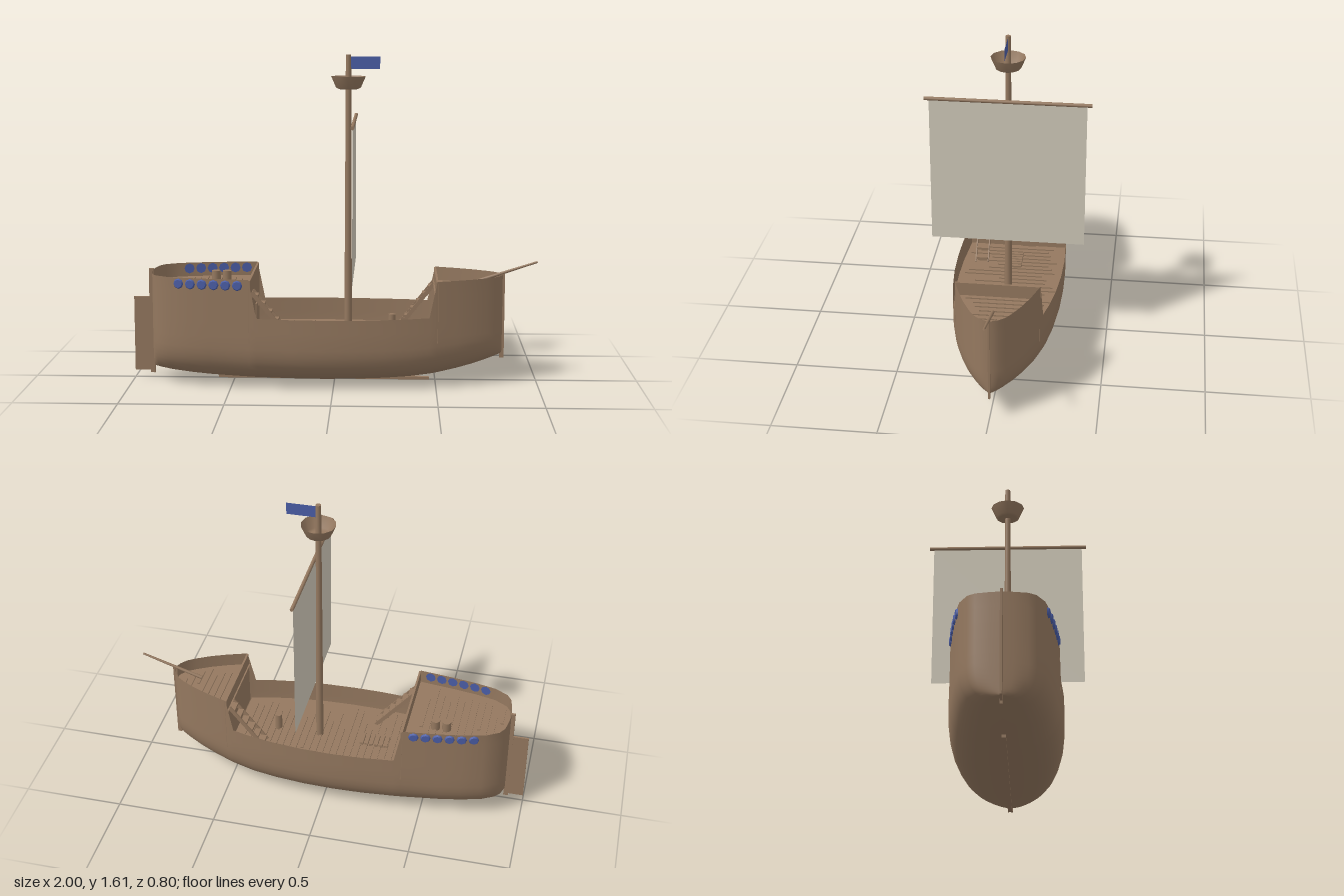
import * as THREE from 'three';

const wood = new THREE.MeshStandardMaterial({ color: 0x94785f, side: THREE.DoubleSide });
wood.name = 'wood';
const canvas = new THREE.MeshStandardMaterial({ color: 0xd0c9b9, side: THREE.DoubleSide });
canvas.name = 'sailcloth';
const blue = new THREE.MeshStandardMaterial({ color: 0x4a5da6, side: THREE.DoubleSide });
blue.name = 'blue';

// hull stations: x, half width, keel height
const STATIONS = [
  [-0.905, 0, 0.068], [-0.9, 0.05, 0.067], [-0.888, 0.115, 0.065], [-0.865, 0.15, 0.062],
  [-0.8, 0.187, 0.053], [-0.7, 0.21, 0.042], [-0.6, 0.226, 0.034], [-0.405, 0.25, 0.025],
  [-0.368, 0.254, 0.024], [-0.2, 0.268, 0.021], [-0.05, 0.272, 0.02], [0.1, 0.268, 0.022],
  [0.25, 0.254, 0.027], [0.37, 0.235, 0.034], [0.465, 0.213, 0.043], [0.502, 0.203, 0.048],
  [0.6, 0.17, 0.068], [0.68, 0.137, 0.088], [0.75, 0.1, 0.11], [0.79, 0.073, 0.124],
  [0.815, 0.043, 0.134], [0.826, 0.018, 0.138], [0.83, 0, 0.14],
];

function halfWidth(x) {
  const i = Math.max(1, STATIONS.findIndex((s) => s[0] >= x));
  const [a, b] = [STATIONS[i - 1], STATIONS[i]];
  return a[1] + ((b[1] - a[1]) * (x - a[0])) / (b[0] - a[0]);
}

function railHeight(x) {
  if (x < -0.4) return 0.545;
  if (x > 0.5) return 0.533;
  return 0.353 + 0.02 * x * x;
}

// half a cross-section from keel to rail: rounded bilge, then upright side
function halfSection([x, w, keel]) {
  const pts = [];
  const e = 2 / (x > 0.3 ? 3 - (x - 0.3) * 1.6 : 2.9);
  const bilge = 0.26;
  for (let i = 0; i <= 12; i++) {
    const a = (i / 12) * Math.PI / 2;
    const z = w * Math.pow(Math.sin(a), e);
    pts.push([z, bilge - (bilge - keel) * Math.pow(Math.max(0, Math.cos(a)), e)]);
  }
  for (let i = 1; i <= 4; i++) pts.push([w, bilge + ((railHeight(x) - bilge) * i) / 4]);
  return pts;
}

function hullGeometry() {
  const pos = [], idx = [];
  let n = 0;
  STATIONS.forEach((s, k) => {
    const half = halfSection(s);
    const ring = [...half.slice(1).reverse().map(([z, y]) => [-z, y]), ...half];
    n = ring.length;
    ring.forEach(([z, y]) => pos.push(s[0], y, z));
    if (k === 0) return;
    for (let j = 0; j < n - 1; j++) {
      const a = (k - 1) * n + j, b = k * n + j;
      idx.push(a, b, a + 1, b, b + 1, a + 1);
    }
  });
  const g = new THREE.BufferGeometry();
  g.setAttribute('position', new THREE.Float32BufferAttribute(pos, 3));
  g.setIndex(idx);
  g.computeVertexNormals();
  return g;
}

// flat deck following the hull outline
function deckGeometry(x0, x1) {
  const xs = [x0, ...STATIONS.map((s) => s[0]).filter((x) => x > x0 && x < x1), x1];
  const side = xs.map((x) => new THREE.Vector2(x, halfWidth(x) - 0.002));
  const other = side.map((p) => new THREE.Vector2(p.x, -p.y)).reverse();
  return new THREE.ShapeGeometry(new THREE.Shape([...side, ...other])).rotateX(-Math.PI / 2);
}

export function createModel() {
  const ship = new THREE.Group();
  ship.name = 'sailingShip';

  function add(name, geo, mat, x = 0, y = 0, z = 0, parent = ship) {
    const m = new THREE.Mesh(geo, mat);
    m.name = name;
    m.position.set(x, y, z);
    parent.add(m);
    return m;
  }
  const box = (name, w, h, d, x, y, z, parent) =>
    add(name, new THREE.BoxGeometry(w, h, d), wood, x, y, z, parent);

  add('hull', hullGeometry(), wood);

  // decks with raised planks
  let seed = 7;
  const rnd = () => (seed = (seed * 16807) % 2147483647) / 2147483647;
  const decks = [['aftDeck', -0.9, -0.4, 0.475], ['mainDeck', -0.4, 0.49, 0.24], ['foreDeck', 0.49, 0.825, 0.465]];
  for (const [name, x0, x1, y] of decks) {
    const deck = new THREE.Group();
    deck.name = name;
    ship.add(deck);
    add(name + 'Floor', deckGeometry(x0, x1), wood, 0, y, 0, deck);
    for (let x = x0 + 0.04; x < x1 - 0.04; x += 0.035) {
      const w = Math.min(halfWidth(x - 0.01), halfWidth(x + 0.01)) - 0.015;
      const len = w * (0.9 + rnd() * 0.9);
      box('plank', 0.014, 0.006, len, x, y + 0.003, (rnd() * 2 - 1) * (w - len / 2), deck);
    }
  }

  // castle bulkheads
  box('aftBulkhead', 0.01, 0.305, 0.5, -0.402, 0.3875, 0);
  box('foreBulkhead', 0.01, 0.3, 0.404, 0.502, 0.381, 0);
  box('door', 0.008, 0.13, 0.07, -0.395, 0.305, -0.06);

  // stairs to both castles
  function stairs(name, xLow, xHigh, z, top) {
    const g = new THREE.Group();
    g.name = name;
    ship.add(g);
    const steps = 6;
    for (let i = 0; i < steps; i++) {
      const t = (i + 0.5) / steps;
      box('step', Math.abs(xHigh - xLow) / steps, 0.012, 0.06,
        xLow + (xHigh - xLow) * t, 0.24 + (top - 0.24) * t, z, g);
    }
    for (const s of [-1, 1]) {
      const rail = box('stringer', Math.hypot(xHigh - xLow, top - 0.24), 0.02, 0.006,
        (xLow + xHigh) / 2, (0.24 + top) / 2, z + s * 0.032, g);
      rail.rotation.z = Math.atan((top - 0.24) / (xHigh - xLow));
    }
  }
  stairs('aftStairs', -0.2, -0.395, 0.17, 0.475);
  stairs('foreStairs', 0.32, 0.495, -0.135, 0.465);

  // hatch grating, bollard and barrels
  for (let i = 0; i < 6; i++) box('hatchSlat', 0.018, 0.014, 0.08, -0.285 + i * 0.025, 0.248, 0);
  add('bollard', new THREE.CylinderGeometry(0.018, 0.018, 0.09, 12), wood, 0.285, 0.285, 0);
  for (const x of [-0.6, -0.545])
    add('barrel', new THREE.CylinderGeometry(0.022, 0.022, 0.05, 12), wood, x, 0.5, -0.1);

  // keel, stem, sternpost and rudder
  box('keel', 1.05, 0.014, 0.02, -0.055, 0.007, 0).rotation.z = -0.002;
  box('stem', 0.022, 0.425, 0.01, 0.829, 0.328, 0);
  box('sternpost', 0.024, 0.53, 0.012, -0.912, 0.287, 0);
  box('rudder', 0.08, 0.375, 0.01, -0.96, 0.223, 0);

  // bowsprit
  const tip = new THREE.Vector3(0.998, 0.597, 0), heel = new THREE.Vector3(0.69, 0.495, 0);
  const spar = new THREE.CylinderGeometry(0.005, 0.009, tip.distanceTo(heel), 10);
  const mid = tip.clone().add(heel).multiplyScalar(0.5);
  add('bowsprit', spar, wood, mid.x, mid.y, 0).rotation.z = Math.atan2(tip.y - heel.y, tip.x - heel.x) - Math.PI / 2;

  // mast, lookout basket, yard, sail and flag
  add('mast', new THREE.CylinderGeometry(0.013, 0.019, 1.37, 16), wood, 0.067, 0.925, 0);
  const basket = [[0, 1.442], [0.045, 1.443], [0.06, 1.45], [0.084, 1.505]].map(([r, y]) => new THREE.Vector2(r, y));
  add('lookoutBasket', new THREE.LatheGeometry(basket, 12), wood, 0.067, 0, 0);
  add('yard', new THREE.CylinderGeometry(0.009, 0.009, 0.8, 12).rotateX(Math.PI / 2), wood, 0.096, 1.288, 0);
  add('sail', new THREE.PlaneGeometry(0.755, 0.74).rotateY(Math.PI / 2), canvas, 0.096, 0.912, 0);
  add('flag', new THREE.PlaneGeometry(0.145, 0.06), blue, 0.148, 1.571, 0);

  // round shields along both sides of the aft castle
  for (const side of [-1, 1]) {
    for (let i = 0; i < 6; i++) {
      const x = -0.75 + i * 0.058;
      const shield = add('shield', new THREE.CylinderGeometry(0.02, 0.026, 0.009, 8).rotateX(side * Math.PI / 2),
        blue, x, 0.515, side * (halfWidth(x) + 0.004));
      shield.rotation.y = -side * Math.atan((halfWidth(x + 0.02) - halfWidth(x - 0.02)) / 0.04);
    }
  }
  return ship;
}
